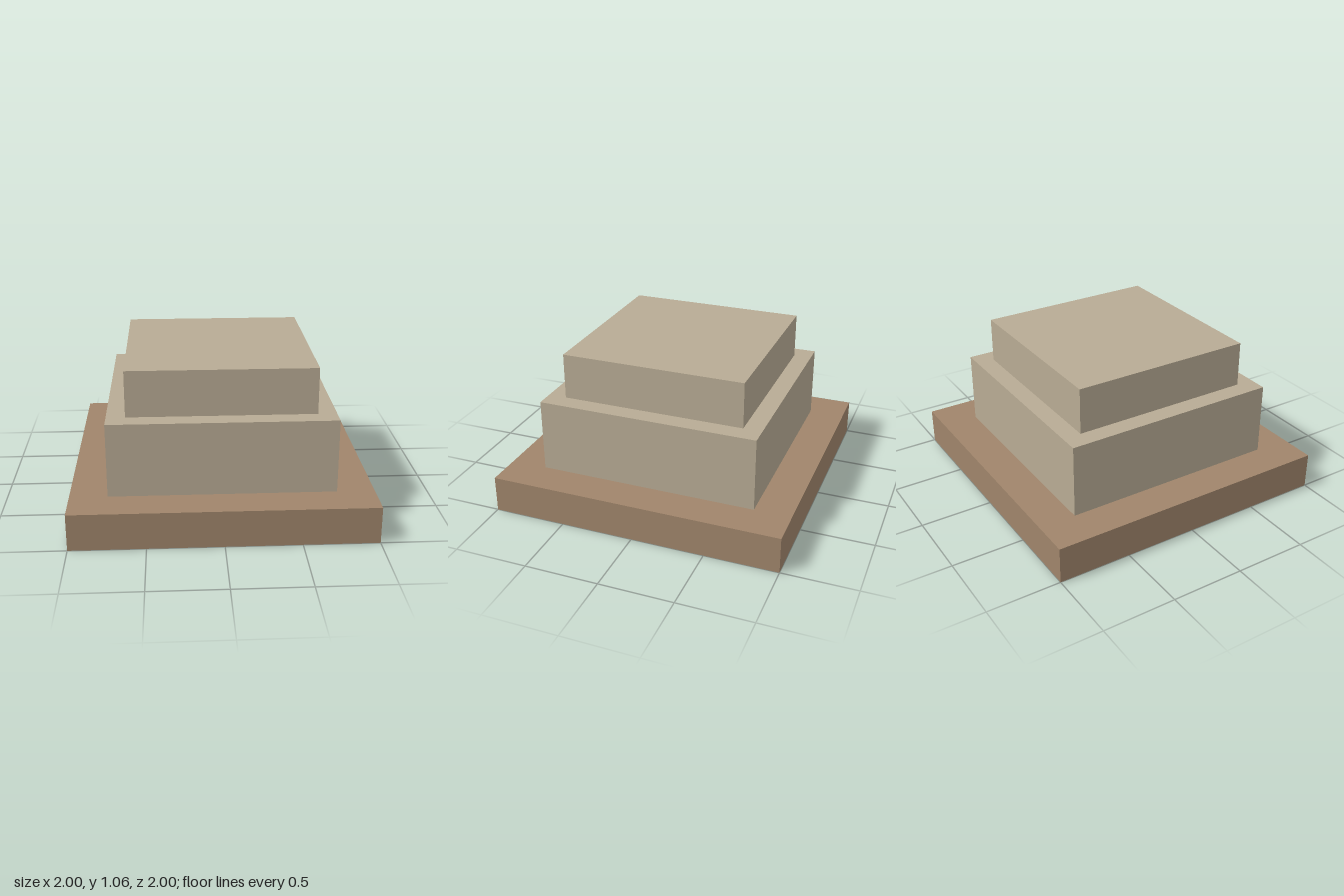
import * as THREE from 'three';

const earth = new THREE.MeshStandardMaterial({ name: 'earth brown', color: 0xa0856b });
const stone = new THREE.MeshStandardMaterial({ name: 'pale stone', color: 0xb8ab94 });

// Square tiers, stacked from the ground up
const tiers = [
  { name: 'base', width: 2, height: 0.25, material: earth },
  { name: 'lowerBlock', width: 1.5, height: 0.5, material: stone },
  { name: 'upperBlock', width: 1.25, height: 0.3125, material: stone },
];

export function createModel() {
  const model = new THREE.Group();
  model.name = 'steppedPedestal';
  let y = 0;
  for (const { name, width, height, material } of tiers) {
    const tier = new THREE.Mesh(new THREE.BoxGeometry(width, height, width), material);
    tier.name = name;
    tier.position.y = y + height / 2;
    model.add(tier);
    y += height;
  }
  return model;
}
